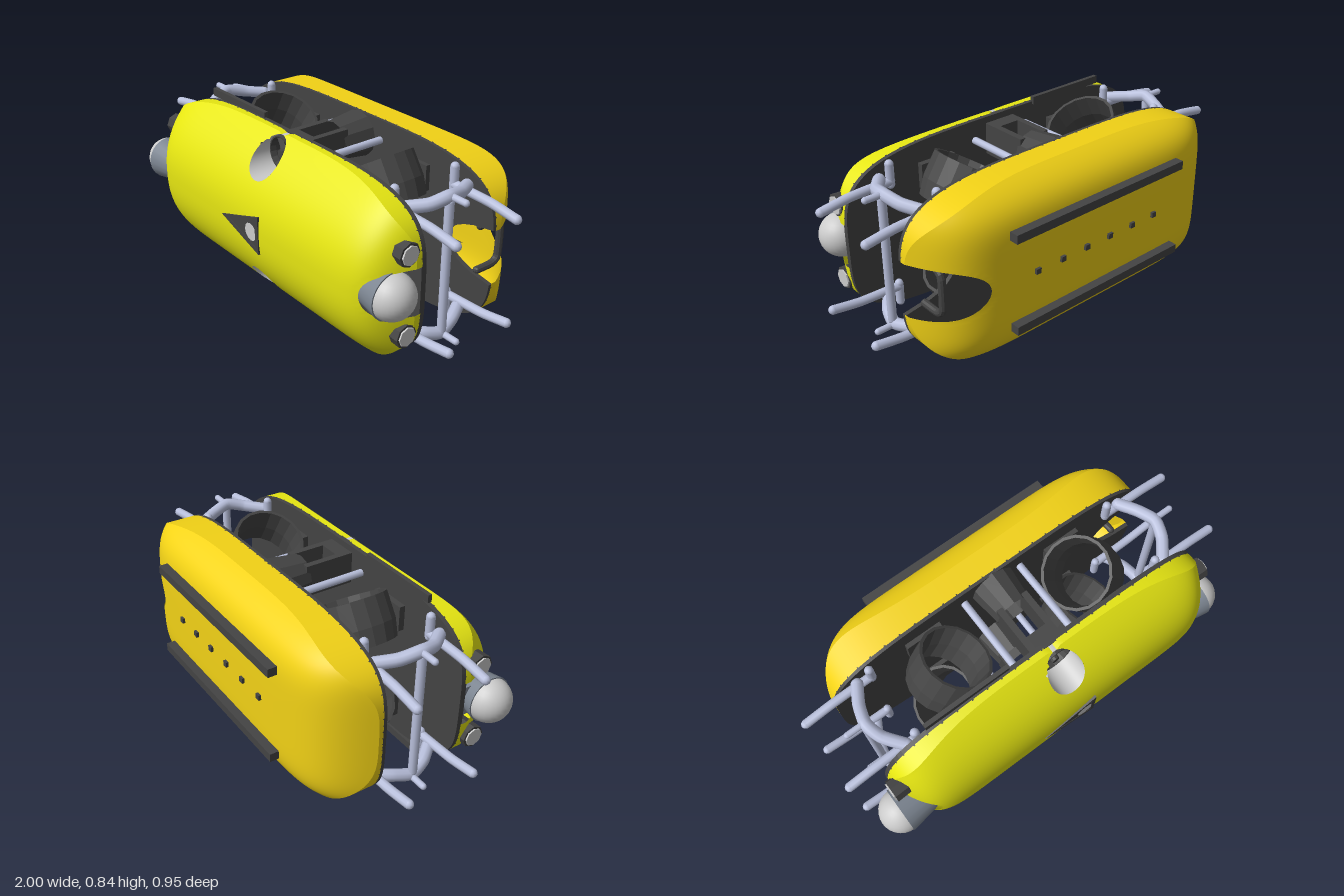
import * as THREE from 'three';

const mat = (color, flatShading = false) =>
  new THREE.MeshStandardMaterial({ color, flatShading, side: THREE.DoubleSide });
const M = {
  lime: mat(0xe6e612), yellow: mat(0xf2d216), dark: mat(0x444444, true),
  tube: mat(0xb9c0dc), collar: mat(0x7d8692), grey: mat(0xcccccc), flatGrey: mat(0xcccccc, true),
};
const V = (x, y, z) => new THREE.Vector3(x, y, z);
const CX = 0.01, CY = 0.425, A = 0.845, B = 0.395;

function add(parent, name, geo, material, x = 0, y = 0, z = 0) {
  const m = new THREE.Mesh(geo, material);
  m.name = name;
  m.position.set(x, y, z);
  parent.add(m);
  return m;
}
const box = (p, name, m, w, h, d, x, y, z) => add(p, name, new THREE.BoxGeometry(w, h, d), m, x, y, z);

// round bar through a list of points
function bar(p, name, pts, r, m = M.tube) {
  const straight = pts.length === 2;
  const path = straight ? new THREE.LineCurve3(...pts) : new THREE.CatmullRomCurve3(pts, false, 'catmullrom', 0.3);
  add(p, name, new THREE.TubeGeometry(path, straight ? 1 : 24, r, 10), m);
  for (const e of [pts[0], pts[pts.length - 1]])
    add(p, name + 'End', new THREE.SphereGeometry(r, 10, 6), m, e.x, e.y, e.z);
}

// squarish oval outline shared by both hulls
function outline(t) {
  const c = Math.cos(t), s = Math.sin(t), r = (c ** 4 + s ** 4) ** -0.25;
  return [CX + A * c * r, CY + B * s * r];
}
const dist = (h, x, y) => Math.hypot((x - h.x) / h.rx, (y - h.y) / h.ry);

function indexed(pos, idx) {
  const g = new THREE.BufferGeometry();
  g.setAttribute('position', new THREE.Float32BufferAttribute(pos, 3));
  g.setIndex(idx);
  g.computeVertexNormals();
  return g;
}

// domed hull skin: concentric loops raised by a height rule, with elliptical cut-outs
function hull(parent, name, material, base, dir, height, holes) {
  const R = 60, N = 240, pos = [], idx = [], wallPos = [], wallIdx = [];
  const zAt = (x, y) => base + dir * height(Math.abs((x - CX) / A), Math.abs((y - CY) / B));
  const point = (r, i) => {
    let [x, y] = outline((i / N) * Math.PI * 2);
    x = CX + (x - CX) * r / R;
    y = CY + (y - CY) * r / R;
    for (const h of holes) {
      const d = dist(h, x, y);
      if (Math.abs(d - 1) < 0.1) { x = h.x + (x - h.x) / d; y = h.y + (y - h.y) / d; }
    }
    return [x, y];
  };
  const tri = (P, I, a, b, c) => {
    const x = (P[a * 3] + P[b * 3] + P[c * 3]) / 3, y = (P[a * 3 + 1] + P[b * 3 + 1] + P[c * 3 + 1]) / 3;
    if (holes.some(h => dist(h, x, y) < 0.999)) return;
    if (dir > 0) I.push(a, b, c); else I.push(a, c, b);
  };
  for (let r = 0; r <= R; r++) for (let i = 0; i < N; i++) {
    const [x, y] = point(r, i);
    pos.push(x, y, zAt(x, y));
    if (r === R) wallPos.push(x, y, zAt(x, y), x, y, base);
  }
  for (let r = 0; r < R; r++) for (let i = 0; i < N; i++) {
    const j = (i + 1) % N, a = r * N + i, b = a + N, c = (r + 1) * N + j, d = r * N + j;
    tri(pos, idx, a, b, c);
    if (r) tri(pos, idx, a, c, d);
  }
  for (let i = 0; i < N; i++) {
    const a = i * 2, b = ((i + 1) % N) * 2;
    tri(wallPos, wallIdx, a, a + 1, b + 1);
    tri(wallPos, wallIdx, a, b + 1, b);
  }
  add(parent, name, indexed(pos, idx), material);
  add(parent, name + 'Rim', indexed(wallPos, wallIdx), material);
  // inner walls of the round ducts, following the hull surface
  for (const h of holes.filter(o => o.wall)) {
    const P = [], I = [], n = 48;
    for (let i = 0; i <= n; i++) {
      const t = (i / n) * Math.PI * 2, x = h.x + h.rx * Math.cos(t), y = h.y + h.ry * Math.sin(t), a = i * 2;
      P.push(x, y, zAt(x, y), x, y, base);
      if (i < n) I.push(a, a + 3, a + 1, a, a + 2, a + 3);
    }
    add(parent, name + 'DuctWall', indexed(P, I), h.wall);
  }
}

// flat deck of the hull outline, optionally notched at the +x end
function deck(parent, name, z, depth, notch) {
  const pts = [];
  for (let i = 0; i < 160; i++) {
    let [x, y] = outline((i / 160) * Math.PI * 2);
    const k = notch ? 1 - ((y - notch.y) / notch.ry) ** 2 : -1;
    if (k > 0 && x > 0) x = Math.min(x, notch.x - notch.rx * Math.sqrt(k));
    pts.push(new THREE.Vector2(x, y));
  }
  add(parent, name, new THREE.ExtrudeGeometry(new THREE.Shape(pts), { depth, bevelEnabled: false }), M.dark, 0, 0, z);
}

// hollow thruster ring, axis along y
function ring(parent, name, r, len, x, y, z) {
  const h = len / 2;
  const prof = [[r * 0.84, -h], [r * 0.92, -h], [r, -h * 0.2], [r * 0.98, h], [r * 0.9, h], [r * 0.82, 0], [r * 0.84, -h]];
  return add(parent, name, new THREE.LatheGeometry(prof.map(p => new THREE.Vector2(...p)), 18), M.dark, x, y, z);
}

export function createModel() {
  const root = new THREE.Group();
  root.name = 'underwaterVehicle';
  const ends = [-1, 1];

  // front hull with lift ducts and camera cut-outs
  hull(root, 'frontHull', M.lime, 0.22, 1,
    (u, v) => 0.03 + 0.21 * Math.max(0, 1 - v ** 2.4 - u ** 13),
    [{ x: 0.02, y: 0.73, rx: 0.085, ry: 0.085, wall: M.grey }, { x: 0.02, y: 0.13, rx: 0.085, ry: 0.085, wall: M.grey },
      { x: -0.84, y: 0.43, rx: 0.13, ry: 0.105 }, { x: 0.86, y: 0.43, rx: 0.13, ry: 0.105 }]);
  deck(root, 'frontDeck', 0.2, 0.025);

  // hollow rear hull with a deep notch at one end
  const notch = { x: 0.87, y: 0.425, rx: 0.27, ry: 0.125 };
  hull(root, 'rearHull', M.yellow, -0.19, -1,
    (u, v) => 0.02 + 0.24 * Math.max(0, 1 - u ** 8 - 0.6 * v ** 6), [notch]);
  deck(root, 'rearDeck', -0.195, 0.02, notch);
  bar(root, 'notchFrame', [V(0.76, 0.53, -0.2), V(0.76, 0.53, -0.29), V(0.76, 0.5, -0.325), V(0.76, 0.35, -0.325),
    V(0.76, 0.32, -0.29), V(0.76, 0.32, -0.2)], 0.017, M.dark);

  // triangular frame and lens on the front hull
  const tri = s => [[-0.21, 0], [0.07, -0.09], [0.07, 0.09]].map(([x, y]) => new THREE.Vector2(0.04 + x * s, y * s));
  const plate = (shape, depth) => new THREE.ExtrudeGeometry(shape, { depth, bevelEnabled: false });
  const triShape = new THREE.Shape(tri(1));
  triShape.holes.push(new THREE.Path(tri(0.7)));
  add(root, 'triangleFrame', plate(triShape, 0.024), M.dark, 0, 0.43, 0.441);
  add(root, 'trianglePanel', plate(new THREE.Shape(tri(0.8)), 0.02), M.dark, 0, 0.43, 0.442);
  add(root, 'triangleLens', new THREE.CircleGeometry(0.042, 12), M.grey, 0.055, 0.43, 0.464);

  // skids, studs and edge rails
  for (const y of [0.645, 0.21]) box(root, 'skid', M.dark, 0.98, 0.04, 0.043, 0.02, y, -0.468);
  for (let i = 0; i < 6; i++) box(root, 'stud', M.dark, 0.025, 0.025, 0.02, -0.33 + i * 0.14, 0.43, -0.452);
  for (const y of [0.826, 0.024]) box(root, 'edgeRail', M.dark, 0.42, 0.036, 0.02, -0.39, y, 0.2);

  for (const s of ends) {
    // camera dome in its collar
    const cx = s < 0 ? -0.86 : 0.81;
    add(root, 'cameraDome', new THREE.SphereGeometry(0.1, 28, 18), M.grey, cx, 0.43, 0.335);
    const collar = add(root, 'cameraCollar', new THREE.CylinderGeometry(0.106, 0.08, 0.15, 20), M.collar, cx - s * 0.07, 0.43, 0.335);
    collar.rotation.z = -s * Math.PI / 2;
    box(root, 'cameraMount', M.collar, 0.12, 0.14, 0.1, cx - s * 0.1, 0.43, 0.26);

    for (const k of ends) {
      const Y = d => CY + k * d;
      // lamps
      const lamp = add(root, 'lamp', new THREE.CylinderGeometry(0.052, 0.045, 0.15, 8), M.dark, s * 0.775, Y(0.182), 0.285);
      lamp.rotation.z = -s * Math.PI / 2;
      const glass = add(root, 'lampGlass', new THREE.CylinderGeometry(0.042, 0.042, 0.01, 8), M.flatGrey, s * 0.852, Y(0.182), 0.285);
      glass.rotation.z = Math.PI / 2;

      // bumper arch, handles and knob
      bar(root, 'bumperArch', [V(s * 0.69, Y(0.285), 0.185), V(s * 0.755, Y(0.297), 0.1), V(s * 0.778, Y(0.316), 0.02),
        V(s * 0.755, Y(0.297), -0.07), V(s * 0.71, Y(0.285), -0.155)], 0.028);
      for (const z of [0.178, -0.155]) {
        bar(root, 'handle', [V(s * 0.64, Y(0.265), z), V(s * 0.84, Y(0.258), z), V(s * 0.977, Y(0.238), z)], 0.021);
        bar(root, 'handleRiser', [V(s * 0.64, Y(0.25), z), V(s * 0.64, Y(0.345), z)], 0.02);
      }
      bar(root, 'knob', [V(s * 0.78, Y(0.318), 0.015), V(s * 0.865, Y(0.318), 0.015)], 0.015);

      // angled thruster rings with their mounts
      const x = s * 0.375 + 0.015;
      ring(root, 'angledThruster', 0.172, 0.2, x, Y(0.225), 0.008).rotation.z = s * k * 0.55;
      for (const z of [0.187, -0.168]) box(root, 'thrusterMount', M.dark, 0.18, 0.12, 0.03, x, Y(0.23), z);

      // cross bars between the decks and legs of the lift thrusters
      bar(root, 'crossBar', [V(0.015 + s * 0.15, Y(0.3), 0.2), V(0.015 + s * 0.15, Y(0.3), -0.18)], 0.017);
      box(root, 'liftLeg', M.dark, 0.03, 0.15, 0.24, 0.02 + s * 0.065, Y(0.29), 0.08);
    }
    bar(root, 'bumperPost', [V(s * 0.785, 0.13, 0.02), V(s * 0.785, 0.72, 0.02)], 0.02);
  }

  // lift thrusters: duct and base between the decks, propeller in the front hull
  for (const y of [0.73, 0.13]) {
    const prof = [[0.11, -0.18], [0.1, -0.1], [0.09, -0.02]].map(p => new THREE.Vector2(...p));
    const duct = add(root, 'liftDuct', new THREE.LatheGeometry(prof, 12), M.dark, 0.02, y > CY ? 0.715 : 0.14, 0);
    duct.rotation.x = Math.PI / 2;
    box(root, 'liftBase', M.dark, 0.14, 0.15, 0.07, 0.02, y > CY ? 0.715 : 0.135, 0.165);
    const prop = new THREE.Group();
    prop.name = 'liftThruster';
    ring(prop, 'liftRing', 0.082, 0.05, 0, 0, 0);
    add(prop, 'liftMotor', new THREE.CylinderGeometry(0.018, 0.024, 0.055, 10), M.dark);
    for (let i = 0; i < 3; i++) {
      const pivot = new THREE.Group();
      pivot.rotation.y = i * Math.PI * 2 / 3;
      box(pivot, 'blade', M.dark, 0.056, 0.008, 0.024, 0.04, 0, 0).rotation.x = 0.6;
      prop.add(pivot);
    }
    prop.position.set(0.02, y, 0.245);
    prop.rotation.x = Math.PI / 2;
    root.add(prop);
  }
  return root;
}
